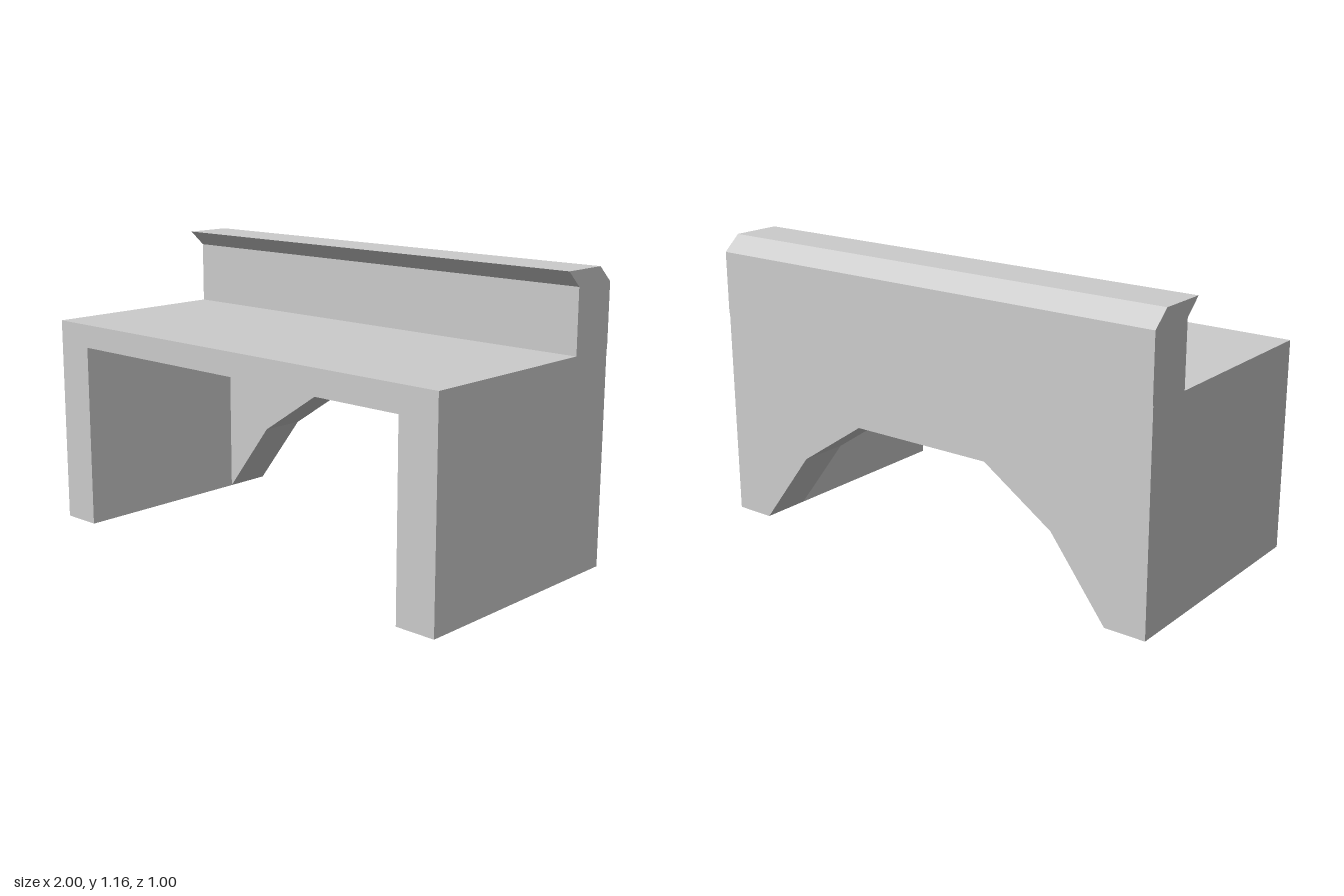
import * as THREE from 'three';

const material = new THREE.MeshStandardMaterial({ color: 0xcccccc, flatShading: true });

// Extrude a closed outline by depth along +z
function extrude(name, points, depth) {
  const shape = new THREE.Shape(points.map(([x, y]) => new THREE.Vector2(x, y)));
  const mesh = new THREE.Mesh(
    new THREE.ExtrudeGeometry(shape, { depth, bevelEnabled: false }), material);
  mesh.name = name;
  return mesh;
}

// Block outline with an opening cut up from the ground; opening is its right half, bottom to top
function archOutline(opening) {
  const left = opening.map(([x, y]) => [-x, y]).reverse();
  return [[-1, 0], [-1, 0.85], [1, 0.85], [1, 0], ...opening, ...left];
}

export function createModel() {
  const group = new THREE.Group();
  group.name = 'bridgeSection';
  const back = -0.497, inner = -0.297, front = 0.5;

  // Deck with its two side walls
  const deck = extrude('deckAndSideWalls', archOutline([[0.833, 0], [0.833, 0.755]]), front - inner);
  deck.position.z = inner;

  // Back panel with the faceted arch
  const panel = extrude('archPanel', archOutline([[0.833, 0], [0.6, 0.305], [0.305, 0.5]]), inner - back);
  panel.position.z = back;

  // Parapet with a sloped back edge and an overhanging front lip; profile is (z, y)
  const profile = [[-0.5, 0.85], [-0.295, 0.85], [-0.295, 1.103], [-0.228, 1.165], [-0.43, 1.165], [-0.5, 1.103]];
  const parapet = extrude('parapet', profile.map(([z, y]) => [-z, y]), 2);
  parapet.rotation.y = Math.PI / 2;
  parapet.position.x = -1;

  group.add(deck, panel, parapet);
  return group;
}
